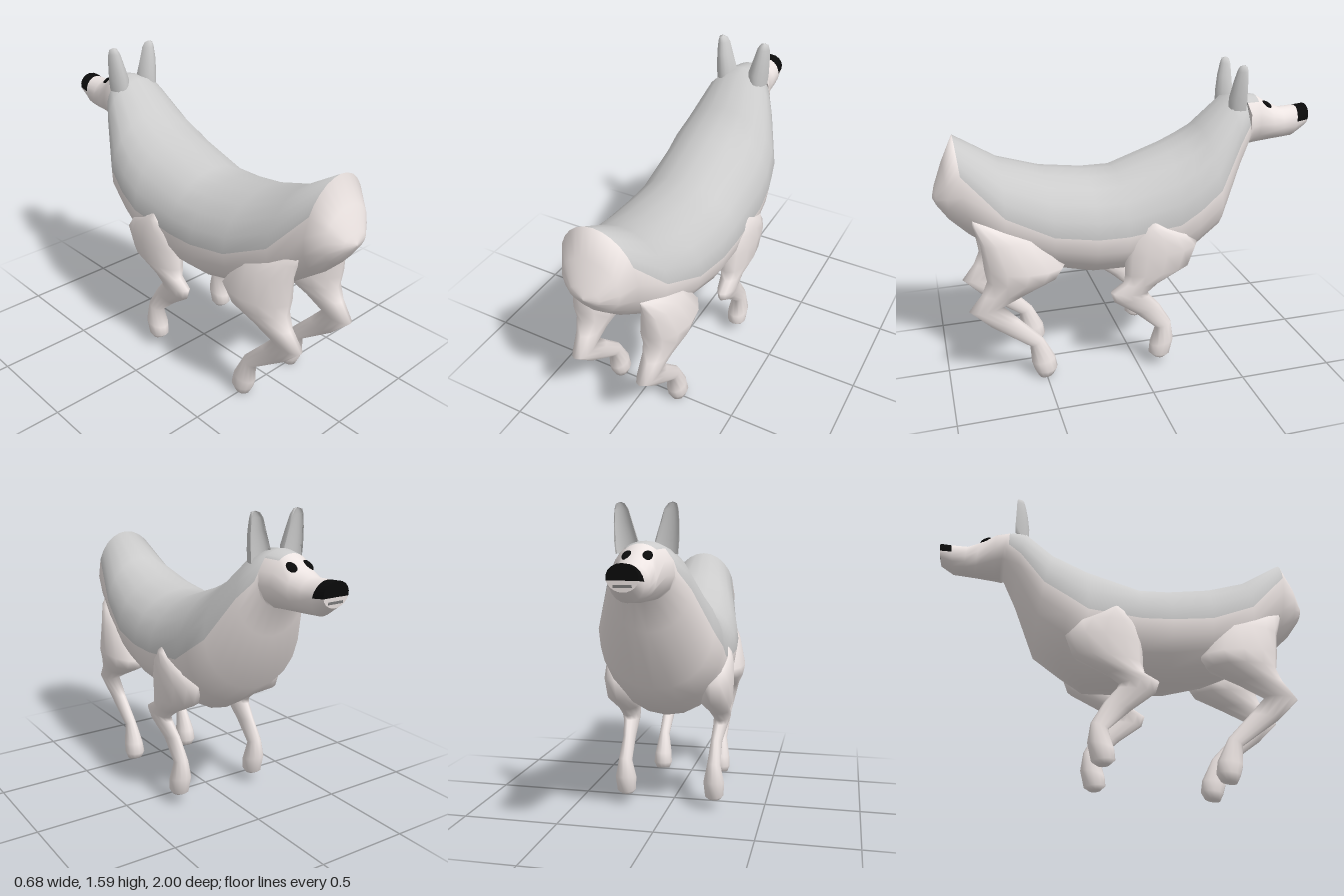
import * as THREE from 'three';

const paint = (color) => new THREE.MeshStandardMaterial({ color });
const coat = paint(0xbcbcbc), cream = paint(0xece4e2), black = paint(0x0a0a0a);

// Skin over oval rings. A ring is [az, ay, bz, by, halfWidth, centreX, split]:
// A and B are opposite points of the oval, split is where the upper colour ends.
function loft(name, rings, materials, { half = 8, pick = () => 0, hollow = false } = {}) {
  const n = half * 2, pos = [], faces = materials.map(() => []);
  for (const [az, ay, bz, by, w, cx = 0, split = 0.5] of rings) {
    const edge = Math.acos(1 - 2 * split), k = half / 2;
    for (let j = 0; j < n; j++) {
      const s = j <= half ? j : n - j;
      const t = s <= k ? (edge * s) / k : edge + ((Math.PI - edge) * (s - k)) / k;
      let c = Math.cos(t);
      if (hollow && c < 0) c *= -0.45;
      pos.push(cx + (j <= half ? 1 : -1) * w * Math.sin(t),
        (ay + by) / 2 + ((ay - by) / 2) * c, (az + bz) / 2 + ((az - bz) / 2) * c);
    }
  }
  for (let i = 0; i < rings.length - 1; i++) {
    for (let j = 0; j < n; j++) {
      const a = i * n + j, b = i * n + ((j + 1) % n);
      const upper = Math.min(j, n - 1 - j) < half / 2;
      faces[pick(i, upper)].push(a, b, a + n, b, b + n, a + n);
    }
  }
  const geo = new THREE.BufferGeometry();
  geo.setAttribute('position', new THREE.Float32BufferAttribute(pos, 3));
  geo.setIndex(faces.flat());
  let start = 0;
  faces.forEach((f, m) => { geo.addGroup(start, f.length, m); start += f.length; });
  geo.computeVertexNormals();
  const mesh = new THREE.Mesh(geo, materials.length > 1 ? materials : materials[0]);
  mesh.name = name;
  return mesh;
}

// Rump to muzzle
const bodyRings = [
  [1, 1.01, 1, 1, 0, 0, 0.3],
  [0.985, 1.06, 0.985, 0.97, 0.08, 0, 0.3],
  [0.94, 1.18, 0.93, 0.89, 0.15, 0, 0.3],
  [0.88, 1.31, 0.84, 0.8, 0.2, 0, 0.3],
  [0.67, 1.18, 0.68, 0.68, 0.235, 0, 0.48],
  [0.45, 1.11, 0.44, 0.58, 0.285, 0, 0.52],
  [0.23, 1.08, 0.23, 0.53, 0.305, 0, 0.5],
  [0.08, 1.08, 0.07, 0.525, 0.305, 0, 0.5],
  [-0.2, 1.18, -0.2, 0.52, 0.31, 0, 0.52],
  [-0.29, 1.22, -0.32, 0.6, 0.31, 0, 0.51],
  [-0.38, 1.27, -0.47, 0.71, 0.285, 0, 0.5],
  [-0.53, 1.41, -0.58, 1, 0.2, 0, 0.51],
  [-0.6, 1.42, -0.65, 1.15, 0.15, 0, 0.5],
  [-0.62, 1.42, -0.67, 1.15, 0.145, 0, 0.12],
  [-0.7, 1.41, -0.7, 1.15, 0.12, 0, 0.1],
  [-0.78, 1.36, -0.8, 1.16, 0.095, 0, 0.3],
  [-0.85, 1.33, -0.86, 1.165, 0.083, 0, 0.4],
  [-0.94, 1.335, -0.92, 1.17, 0.077, 0, 0.45],
  [-1, 1.34, -0.99, 1.22, 0.07, 0, 0.6],
  [-1, 1.34, -0.99, 1.22, 0.07, 0, 0.6],
  [-0.995, 1.275, -0.995, 1.265, 0, 0, 0.6],
];

// Colours: cream rump and belly, grey back, black nose
function bodyColour(i, upper) {
  if (!upper || i < 3) return 1;
  if (i >= 17) return 2;
  return i < 14 ? 0 : 1;
}

// Legs from top to foot
const hindRings = [
  [0.74, 0.92, 0.83, 0.93, 0, 0.18],
  [0.66, 0.87, 0.83, 0.9, 0.03, 0.19],
  [0.5, 0.82, 0.8, 0.8, 0.08, 0.19],
  [0.38, 0.65, 0.79, 0.67, 0.12, 0.19],
  [0.42, 0.59, 0.78, 0.6, 0.105, 0.19],
  [0.57, 0.52, 0.81, 0.53, 0.07, 0.19],
  [0.71, 0.45, 0.88, 0.44, 0.048, 0.185],
  [0.63, 0.36, 0.77, 0.33, 0.035, 0.18],
  [0.51, 0.23, 0.58, 0.19, 0.03, 0.18],
  [0.45, 0.11, 0.575, 0.09, 0.05, 0.18],
  [0.44, 0.05, 0.56, 0.04, 0.055, 0.18],
  [0.46, 0.015, 0.54, 0, 0.04, 0.18],
  [0.5, 0.008, 0.5, 0.008, 0, 0.18],
];
const foreRings = [
  [-0.05, 0.88, -0.06, 0.88, 0, 0.29],
  [-0.12, 0.84, -0.01, 0.84, 0.04, 0.28],
  [-0.25, 0.78, 0.05, 0.78, 0.075, 0.26],
  [-0.31, 0.71, 0.08, 0.68, 0.092, 0.247],
  [-0.27, 0.6, 0.08, 0.57, 0.085, 0.245],
  [-0.1, 0.51, 0.09, 0.52, 0.055, 0.25],
  [-0.04, 0.46, 0.16, 0.48, 0.046, 0.255],
  [-0.05, 0.44, 0.14, 0.42, 0.04, 0.25],
  [-0.11, 0.37, 0.02, 0.33, 0.03, 0.24],
  [-0.175, 0.26, -0.09, 0.23, 0.036, 0.24],
  [-0.19, 0.16, -0.06, 0.13, 0.056, 0.24],
  [-0.17, 0.07, -0.055, 0.08, 0.05, 0.24],
  [-0.14, 0.052, -0.08, 0.057, 0.035, 0.24],
  [-0.11, 0.052, -0.11, 0.052, 0, 0.24],
];

// Ears, cupped towards the face
const earRings = [
  [-0.52, 1.36, -0.67, 1.36, 0.053, 0.092],
  [-0.522, 1.42, -0.67, 1.42, 0.055, 0.095],
  [-0.535, 1.5, -0.655, 1.5, 0.043, 0.108],
  [-0.55, 1.56, -0.64, 1.56, 0.032, 0.115],
  [-0.56, 1.585, -0.625, 1.585, 0.02, 0.12],
  [-0.58, 1.592, -0.59, 1.592, 0, 0.12],
];

export function createModel() {
  const group = new THREE.Group();
  group.name = 'animal';
  group.add(loft('body', bodyRings, [coat, cream, black], { half: 10, pick: bodyColour }));

  const eyeGeo = new THREE.SphereGeometry(1, 16, 10);
  for (const [side, name] of [[1, 'left'], [-1, 'right']]) {
    const mirror = (rings) => rings.map((r) => r.map((v, i) => (i === 5 ? v * side : v)));
    group.add(
      loft(`${name}HindLeg`, mirror(hindRings), [cream], { half: 6 }),
      loft(`${name}ForeLeg`, mirror(foreRings), [cream], { half: 6 }),
      loft(`${name}Ear`, mirror(earRings), [coat], { hollow: true }),
    );
    const eye = new THREE.Mesh(eyeGeo, black);
    eye.name = `${name}Eye`;
    eye.scale.set(0.023, 0.012, 0.033);
    eye.position.set(side * 0.047, 1.361, -0.757);
    eye.rotation.set(-0.55, 0, -side * 0.25);
    group.add(eye);
  }

  // Mouth line under the nose
  const mouth = new THREE.Mesh(new THREE.BoxGeometry(0.08, 0.012, 0.012), paint(0x777777));
  mouth.name = 'mouth';
  mouth.position.set(0, 1.245, -0.988);
  group.add(mouth);
  return group;
}
